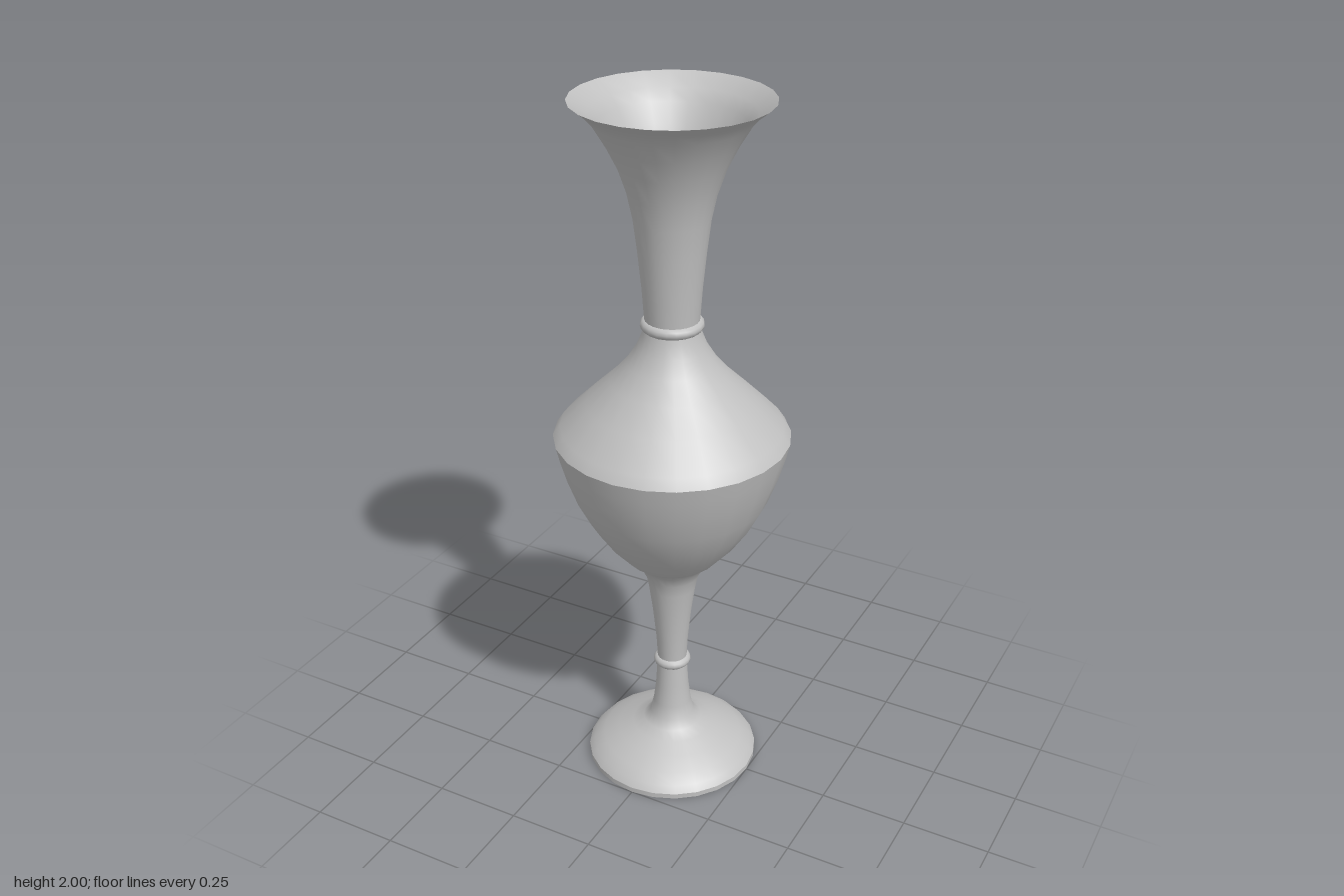
import * as THREE from 'three';

export function createModel() {
  const group = new THREE.Group();
  group.name = 'vase';
  const grey = new THREE.MeshStandardMaterial({ color: 0xc0c0c0 });
  grey.name = 'grey clay';

  // Turns a list of [radius, height] points around the y axis.
  function turn(name, profile, sides = 24) {
    const points = profile.map(([r, y]) => new THREE.Vector2(r, y));
    const mesh = new THREE.Mesh(new THREE.LatheGeometry(points, sides), grey);
    mesh.name = name;
    group.add(mesh);
  }

  // Rounded collar of the given outer radius.
  function collar(name, radius, y, half) {
    const profile = [];
    for (let i = 0; i <= 6; i++) {
      const a = -Math.PI / 2 + (i / 6) * Math.PI;
      profile.push([radius - half + Math.cos(a) * half, y + Math.sin(a) * half]);
    }
    turn(name, profile, 20);
  }

  // Foot
  turn('footUnderside', [[0, 0], [0.25, 0]]);
  turn('footEdge', [[0.25, 0], [0.25, 0.015]]);
  turn('foot', [[0.25, 0.015], [0.235, 0.034], [0.205, 0.056], [0.16, 0.08], [0.118, 0.1],
    [0.085, 0.117], [0.064, 0.14], [0.055, 0.18], [0.048, 0.24], [0.043, 0.32]]);

  // Stem, flaring out under the body
  collar('stemCollar', 0.054, 0.325, 0.015);
  turn('stem', [[0.042, 0.325], [0.046, 0.4], [0.056, 0.5], [0.067, 0.58], [0.075, 0.62],
    [0.092, 0.654], [0.115, 0.678], [0.134, 0.692]]);

  // Body
  turn('lowerBody', [[0.134, 0.692], [0.185, 0.75], [0.232, 0.82], [0.268, 0.89],
    [0.297, 0.97], [0.314, 1.03], [0.325, 1.075]]);
  turn('upperBody', [[0.325, 1.075], [0.305, 1.105], [0.235, 1.175], [0.17, 1.238], [0.124, 1.29],
    [0.096, 1.335], [0.08, 1.375], [0.073, 1.41]]);

  // Neck and trumpet mouth
  collar('neckCollar', 0.086, 1.4, 0.016);
  turn('neck', [[0.073, 1.4], [0.08, 1.5], [0.09, 1.6], [0.101, 1.69], [0.116, 1.76],
    [0.14, 1.83], [0.17, 1.89], [0.203, 1.945], [0.228, 1.973], [0.262, 2]]);

  // Hollow inside, running down to a small floor
  turn('mouthInside', [[0.262, 2], [0.215, 1.968], [0.19, 1.938], [0.16, 1.887], [0.13, 1.827],
    [0.107, 1.757], [0.092, 1.687], [0.081, 1.597], [0.071, 1.5], [0.065, 1.4]]);
  turn('bodyInside', [[0.065, 1.4], [0.087, 1.335], [0.16, 1.233], [0.29, 1.1], [0.313, 1.072],
    [0.286, 0.97], [0.222, 0.82], [0.125, 0.7], [0.067, 0.62], [0.05, 0.5], [0.041, 0.4]]);
  turn('insideFloor', [[0.041, 0.4], [0, 0.4]]);

  return group;
}
